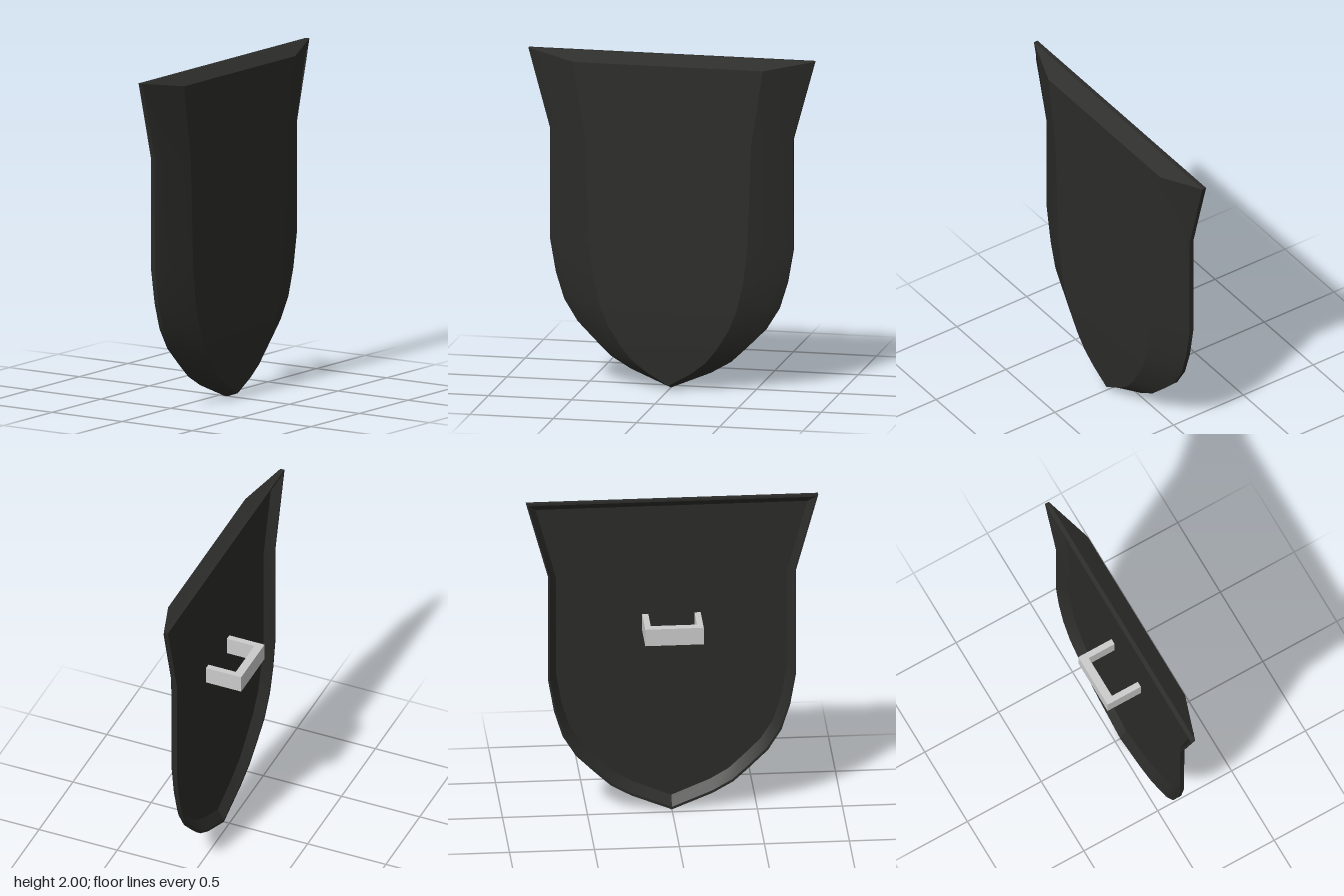
import * as THREE from 'three';
import { toCreasedNormals } from 'three/addons/utils/BufferGeometryUtils.js';

// Half outlines as [z, y], from the top corner down to the tip
const RIM = [[0.86, 2], [0.73, 1.525], [0.73, 0.86], [0.695, 0.66], [0.645, 0.5],
  [0.565, 0.37], [0.45, 0.255], [0.36, 0.17], [0.24, 0.1], [0, 0]];
const FACE = [[0.57, 1.95], [0.5, 1.5], [0.475, 0.86], [0.45, 0.66], [0.41, 0.49],
  [0.36, 0.37], [0.285, 0.25], [0.22, 0.17], [0.13, 0.1], [0, 0.025]];

const scaled = (half, k) => half.map(([z, y]) => [z * k, 1.1 + (y - 1.1) * k]);
const blend = (a, b, t) => a.map(([z, y], i) => [z + (b[i][0] - z) * t, y + (b[i][1] - y) * t]);

// Mirrors a half outline into a closed ring; x may vary along it
function ring(half, xAt) {
  const left = half.map(([z, y], i) => [xAt(y, i), y, z]);
  const right = left.slice(0, -1).reverse().map(([x, y, z]) => [x, y, -z]);
  return [...left, ...right];
}

function shieldGeometry() {
  const backX = (y) => 0.02 + 0.015 * Math.max(0, 1 - y / 0.35);
  const edgeX = (y) => backX(y) + 0.026;
  const faceX = (y) => 0.145 - 0.005 * (1 - y / 1.95) - 0.01 * Math.max(0, 1 - y / 0.35);
  const ridgeX = (y, i) => edgeX(y) * 0.8 + faceX(y) * 0.2 + (i > 0 && i < 5 ? 0.01 : 0);
  const rings = [
    ring(scaled(RIM, 0.93), () => 0.075),      // hollow floor
    ring(scaled(RIM, 0.985), backX),           // inner lip
    ring(RIM, backX),                          // outer lip
    ring(RIM, edgeX),                          // front of the rim
    ring(blend(RIM, FACE, 0.2), ridgeX),       // soft ridge on the bevel
    ring(FACE, faceX),                         // flat face
  ];
  const pos = [];
  const tri = (a, b, c) => pos.push(...a, ...b, ...c);
  const n = rings[0].length;
  for (let r = 0; r < rings.length - 1; r++) {
    const a = rings[r], b = rings[r + 1];
    for (let j = 0; j < n; j++) {
      const k = (j + 1) % n;
      tri(a[j], a[k], b[k]);
      tri(a[j], b[k], b[j]);
    }
  }
  // Close the floor and the face with rows running across the shield
  const floor = rings[0], face = rings[rings.length - 1];
  for (let i = 0; i < RIM.length - 1; i++) {
    const m = n - 1 - i;
    tri(face[i], face[i + 1], face[m]);
    tri(floor[i], floor[m], floor[i + 1]);
    if (i < RIM.length - 2) {
      tri(face[i + 1], face[m - 1], face[m]);
      tri(floor[i + 1], floor[m], floor[m - 1]);
    }
  }
  const geo = new THREE.BufferGeometry();
  geo.setAttribute('position', new THREE.Float32BufferAttribute(pos, 3));
  return toCreasedNormals(geo, 0.3);
}

export function createModel() {
  const model = new THREE.Group();
  model.name = 'shield';

  const body = new THREE.Mesh(shieldGeometry(), new THREE.MeshStandardMaterial({ color: 0x2b2b29 }));
  body.name = 'shieldBody';
  model.add(body);

  // U-shaped handle reaching into the hollow back
  const shape = new THREE.Shape([
    [0.08, 0.172], [-0.15, 0.172], [-0.15, -0.172], [0.08, -0.172],
    [0.08, -0.136], [-0.1, -0.136], [-0.1, 0.136], [0.08, 0.136],
  ].map(([x, z]) => new THREE.Vector2(x, z)));
  const handleGeo = new THREE.ExtrudeGeometry(shape, { depth: 0.106, bevelEnabled: false });
  handleGeo.rotateX(-Math.PI / 2);
  handleGeo.translate(0, 1.138, 0);
  const handle = new THREE.Mesh(handleGeo, new THREE.MeshStandardMaterial({ color: 0xcccccc }));
  handle.name = 'handle';
  model.add(handle);
  return model;
}
